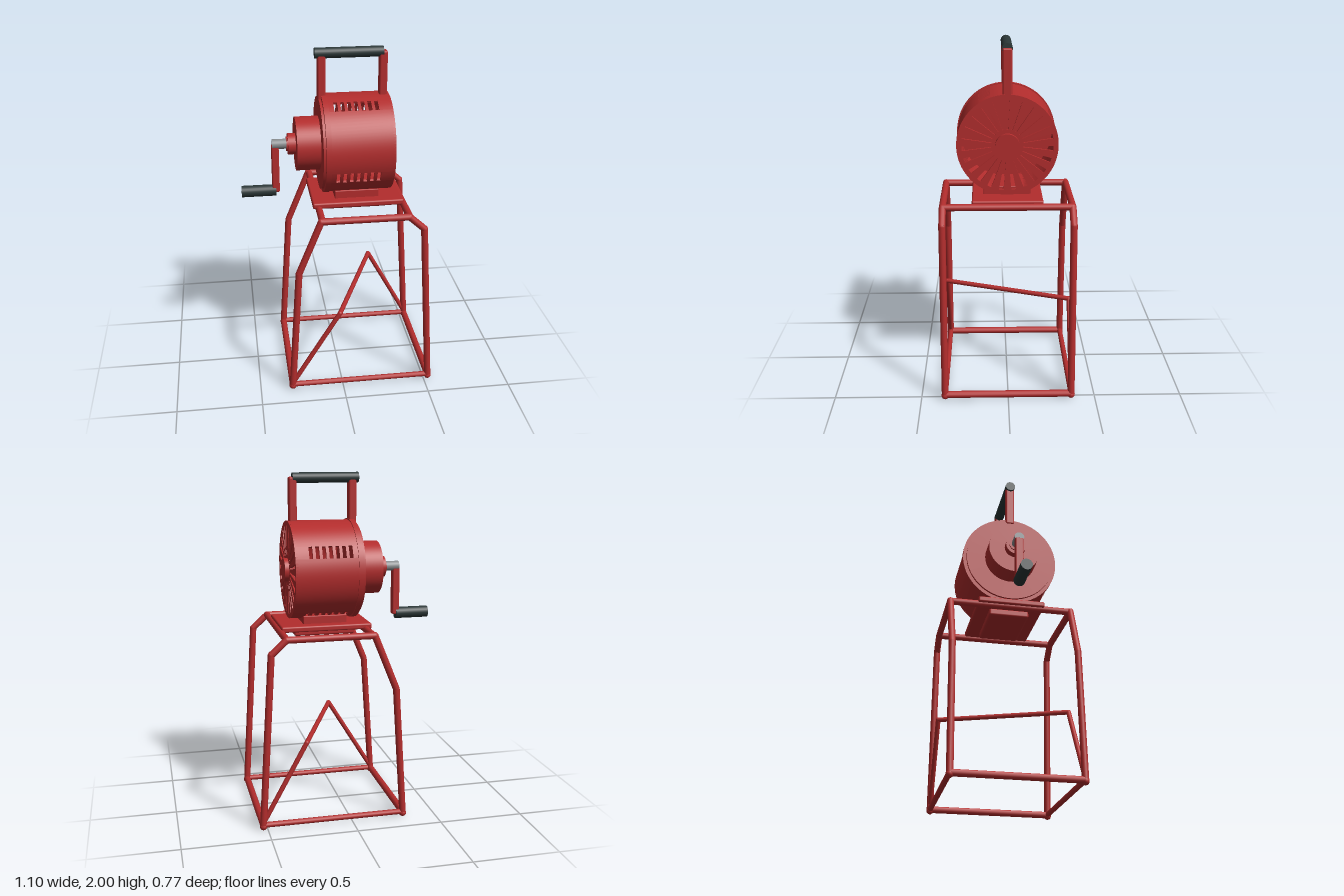
import * as THREE from 'three';
import { mergeGeometries } from 'three/addons/utils/BufferGeometryUtils.js';
import { RoundedBoxGeometry } from 'three/addons/geometries/RoundedBoxGeometry.js';

const mat = (name, color) => {
  const m = new THREE.MeshStandardMaterial({ color });
  m.name = name;
  return m;
};

export function createModel() {
  const red = mat('red paint', 0xb32d2d);
  const rubber = mat('dark rubber', 0x2b3737);
  const steel = mat('grey steel', 0x8a8e90);
  const root = new THREE.Group();
  root.name = 'handCrankSiren';
  const AXIS = 1.445; // height of the drum axis
  const V = (x, y, z) => new THREE.Vector3(x, y, z);

  const add = (name, geo, material, parent = root) => {
    const m = new THREE.Mesh(geo, material);
    m.name = name;
    parent.add(m);
    return m;
  };
  // cylinder along x from x0 to x1
  const drum = (name, x0, x1, r, y, material = red, sides = 64) => {
    const g = new THREE.CylinderGeometry(r, r, x1 - x0, sides).rotateZ(-Math.PI / 2);
    return add(name, g.translate((x0 + x1) / 2, y, 0), material);
  };
  const block = (name, x0, x1, y0, y1, depth, radius, material = red) =>
    add(name, new RoundedBoxGeometry(x1 - x0, y1 - y0, depth, 2, radius)
      .translate((x0 + x1) / 2, (y0 + y1) / 2, 0), material);

  // pipe run with straight lengths and rounded joints
  const pipe = (name, points, r, parent) => {
    const parts = points.map(p => new THREE.SphereGeometry(r, 12, 8).translate(p.x, p.y, p.z));
    for (let i = 1; i < points.length; i++) {
      const dir = points[i].clone().sub(points[i - 1]);
      const mid = points[i].clone().add(points[i - 1]).multiplyScalar(0.5);
      const g = new THREE.CylinderGeometry(r, r, dir.length(), 12);
      g.applyQuaternion(new THREE.Quaternion().setFromUnitVectors(V(0, 1, 0), dir.normalize()));
      parts.push(g.translate(mid.x, mid.y, mid.z));
    }
    return add(name, mergeGeometries(parts), red, parent);
  };

  // stand: two bent side hoops, cross bars and a diagonal brace
  const stand = new THREE.Group();
  stand.name = 'stand';
  root.add(stand);
  const Z = 0.363;
  for (const z of [Z, -Z]) {
    pipe('sideHoop', [V(-0.307, 0.025, z), V(-0.257, 0.79, z), V(-0.127, 1.11, z),
      V(0.375, 1.11, z), V(0.463, 1.03, z), V(0.525, 0.025, z)], 0.02, stand);
    pipe('bottomSideBar', [V(-0.307, 0.03, z), V(0.525, 0.03, z)], 0.016, stand);
    for (const x of [-0.307, 0.525])
      add('footCap', new THREE.SphereGeometry(0.022, 12, 8).translate(x, 0.022, z), red, stand);
  }
  for (const x of [-0.307, 0.525])
    pipe('bottomCrossBar', [V(x, 0.028, -Z), V(x, 0.028, Z)], 0.02, stand);
  for (const x of [-0.12, 0.375])
    pipe('topCrossBar', [V(x, 1.11, -Z), V(x, 1.11, Z)], 0.02, stand);
  pipe('diagonalBrace', [V(-0.3, 0.05, Z), V(-0.02, 0.508, Z),
    V(0.268, 0.508, -Z), V(0.52, 0.05, -Z)], 0.014, stand);

  // mounting plates
  block('basePlate', -0.155, 0.375, 1.112, 1.146, 0.4, 0.01);
  block('underPlate', -0.07, 0.287, 1.072, 1.115, 0.24, 0.012);
  block('drumFoot', -0.02, 0.237, 1.14, 1.192, 0.27, 0.005);

  // drum wall, built from curved panels that leave four rows of vent slots open
  const R0 = 0.27, R1 = 0.283;
  const panel = (x0, x1, a0, a1) => {
    const n = Math.max(2, Math.ceil((a1 - a0) / 0.07));
    const g = new THREE.BoxGeometry(1, 1, 1, 1, 1, n);
    const p = g.attributes.position;
    for (let i = 0; i < p.count; i++) {
      const r = p.getY(i) > 0 ? R1 : R0;
      const a = a0 + (0.5 - p.getZ(i)) * (a1 - a0);
      p.setXYZ(i, x0 + (p.getX(i) + 0.5) * (x1 - x0), r * Math.sin(a), r * Math.cos(a));
    }
    g.computeVertexNormals();
    return g;
  };
  const X0 = -0.07, X1 = 0.295, half = 0.128, slots = 7;
  const panels = [];
  for (let k = 0; k < 4; k++) {
    const mid = 1.105 + k * Math.PI / 2;
    panels.push(panel(X0, X1, mid + half, mid + Math.PI / 2 - half));
    let x = X0;
    for (let i = 0; i < slots; i++) {
      const c = -0.015 + i * 0.0383;
      panels.push(panel(x, c - 0.0105, mid - half, mid + half));
      x = c + 0.0105;
    }
    panels.push(panel(x, X1, mid - half, mid + half));
  }
  add('drumWall', mergeGeometries(panels).translate(0, AXIS, 0), red);

  // end grille with tapered radial slots
  const disc = new THREE.Shape().absarc(0, 0, R1, 0, Math.PI * 2);
  const rays = 23;
  for (let i = 0; i < rays; i++) {
    const a = Math.PI / 2 + i / rays * Math.PI * 2;
    const at = (r, w) => new THREE.Vector2(
      r * Math.cos(a) - w * Math.sin(a), r * Math.sin(a) + w * Math.cos(a));
    disc.holes.push(new THREE.Path([
      at(0.09, 0.004), at(0.255, 0.013), at(0.255, -0.013), at(0.09, -0.004)]));
  }
  add('endGrille', new THREE.ExtrudeGeometry(disc, { depth: 0.014, bevelEnabled: false, curveSegments: 48 })
    .rotateY(Math.PI / 2).translate(0.29, AXIS, 0), red);
  drum('grilleHub', 0.295, 0.328, 0.068, AXIS);

  // rear flange, gearbox and bearing
  drum('drumFlange', -0.085, -0.055, 0.289, AXIS);
  drum('flangeStep', -0.099, -0.08, 0.268, AXIS);
  drum('gearbox', -0.234, -0.09, 0.155, AXIS);
  drum('bearing', -0.278, -0.23, 0.061, AXIS, red, 32);
  drum('bearingLip', -0.286, -0.27, 0.042, AXIS, red, 32);

  // crank
  drum('crankShaft', -0.368, -0.27, 0.029, 1.447, steel, 24);
  block('crankArm', -0.373, -0.33, 1.155, 1.44, 0.05, 0.008);
  drum('crankGrip', -0.553, -0.352, 0.034, 1.161, rubber, 24);

  // carrying handle
  for (const x of [-0.081, 0.27])
    block('handlePost', x - 0.023, x + 0.023, 1.7, 1.975, 0.054, 0.01);
  drum('handleGrip', -0.118, 0.27, 0.03, 1.97, rubber, 24);

  return root;
}
